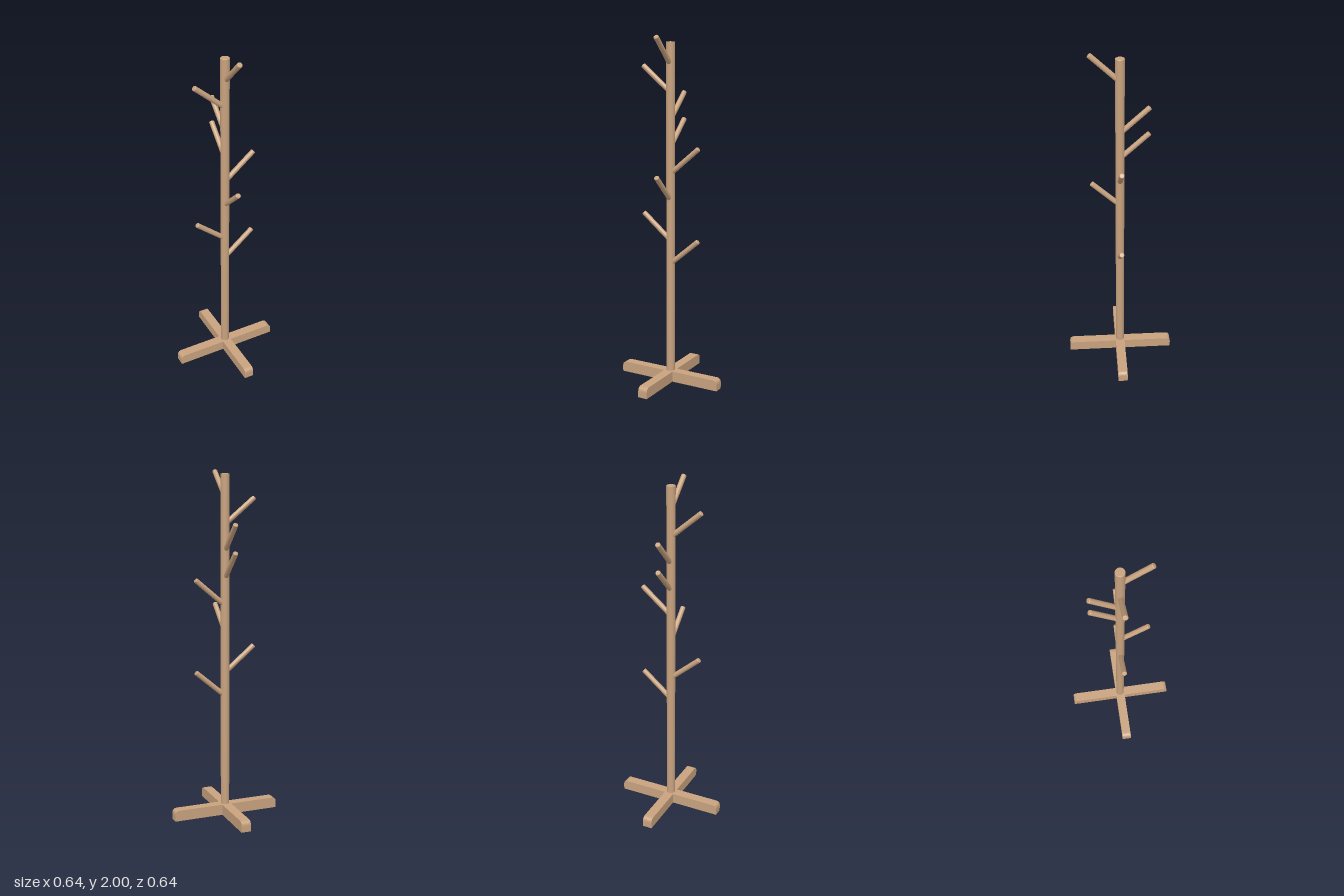
import * as THREE from 'three';

const wood = new THREE.MeshStandardMaterial({ color: 0xc8a27e });
wood.name = 'wood';

function add(parent, name, geometry) {
  const mesh = new THREE.Mesh(geometry, wood);
  mesh.name = name;
  parent.add(mesh);
  return mesh;
}

// Round bar standing on y = 0 with a small chamfer at its top end
function roundBar(radius, length, bevel, sides) {
  const r = radius, l = length, b = bevel;
  const side = [[r, 0], [r, l - b]];
  const rim = [[r, l - b], [r - b * 0.3, l - b * 0.3], [r - b, l]];
  const cap = [[r - b, l], [0, l]];
  // Repeated points keep the wall, rim and cap edges crisp
  const points = [...side, ...rim, ...cap].map(([x, y]) => new THREE.Vector2(x, y));
  return new THREE.LatheGeometry(points, sides);
}

// Base beam: side profile with rounded upper ends, extruded across its width
function beamGeometry() {
  const half = 0.318, height = 0.062, width = 0.056, round = 0.028;
  const s = new THREE.Shape();
  s.moveTo(-half, 0);
  s.lineTo(half, 0);
  s.lineTo(half, height - round);
  s.quadraticCurveTo(half, height, half - round, height);
  s.lineTo(-half + round, height);
  s.quadraticCurveTo(-half, height, -half, height - round);
  s.closePath();
  const g = new THREE.ExtrudeGeometry(s, { depth: width, bevelEnabled: false, curveSegments: 8 });
  return g.translate(0, 0, -width / 2);
}

export function createModel() {
  const model = new THREE.Group();
  model.name = 'coatStand';

  // Crossed base
  const base = new THREE.Group();
  base.name = 'base';
  model.add(base);
  add(base, 'sideBeam', beamGeometry());
  add(base, 'frontBackBeam', beamGeometry().rotateY(Math.PI / 2));

  // Upright pole
  add(model, 'pole', roundBar(0.025, 1.925, 0.003, 32)).position.y = 0.04;

  // Pegs: direction x, direction z, height of the tip
  const pegs = [
    [0, 1, 1.998], [-1, 0, 1.847], [0, -1, 1.698], [0, -1, 1.545],
    [1, 0, 1.392], [0, 1, 1.24], [-1, 0, 1.005], [1, 0, 0.868],
  ];
  const up = new THREE.Vector3(0, 1, 0);
  pegs.forEach(([dx, dz, top], i) => {
    const reach = dx ? 0.178 : 0.159;
    const root = new THREE.Vector3(dx * 0.012, top - 0.149, dz * 0.012);
    const tip = new THREE.Vector3(dx * reach, top - 0.011, dz * reach);
    const dir = tip.clone().sub(root);
    const peg = add(model, `peg${i + 1}`, roundBar(0.0145, dir.length(), 0.004, 20));
    peg.position.copy(root);
    peg.quaternion.setFromUnitVectors(up, dir.normalize());
  });

  return model;
}
